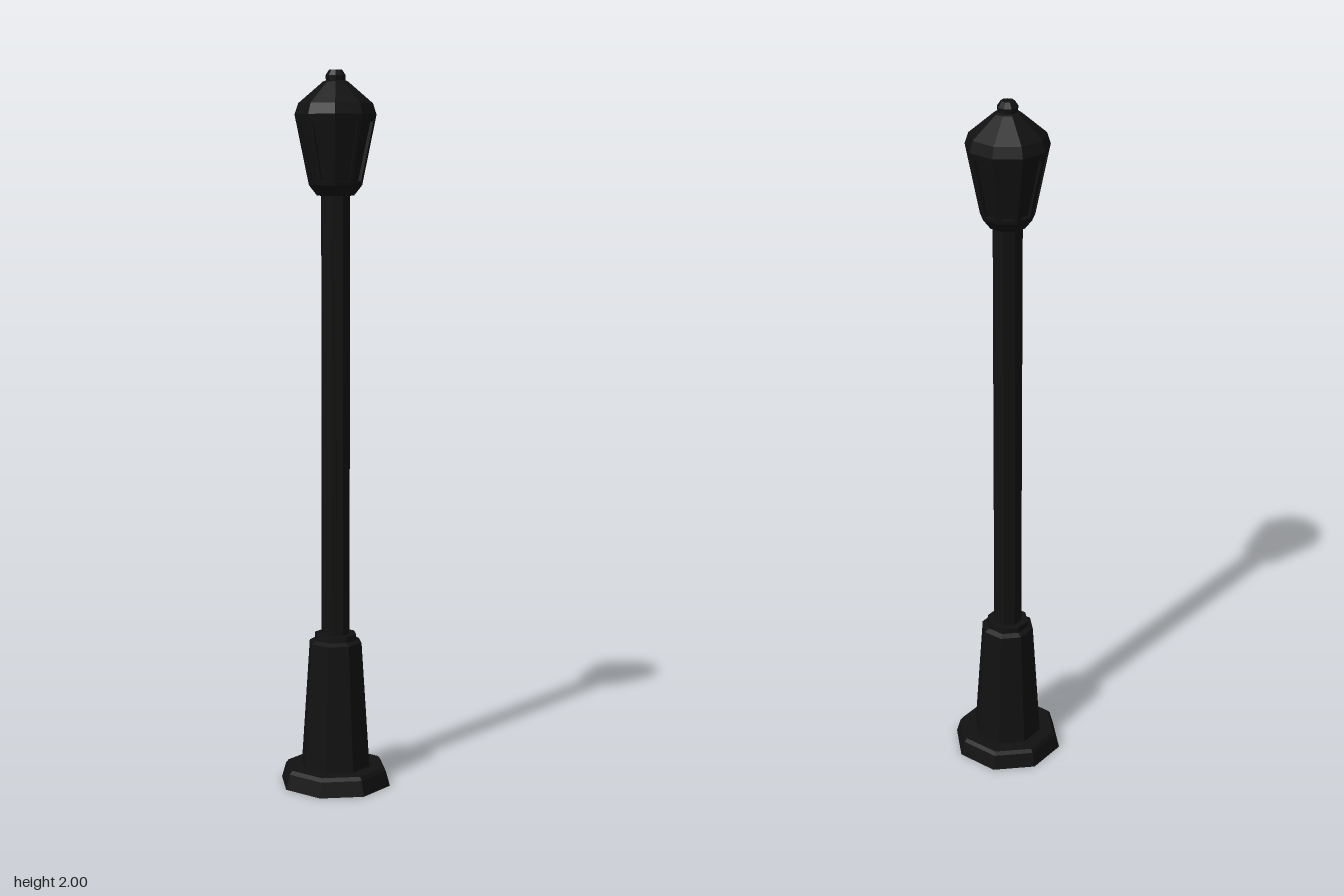
import * as THREE from 'three';

const material = new THREE.MeshStandardMaterial({
  color: 0x111111, flatShading: true, side: THREE.DoubleSide,
});

// Faceted turned part from [radius, height] pairs, with a corner on +x
function turned(name, sides, profile) {
  const points = profile.map(([r, y]) => new THREE.Vector2(r, y));
  const mesh = new THREE.Mesh(new THREE.LatheGeometry(points, sides, Math.PI / 2), material);
  mesh.name = name;
  return mesh;
}

// Trapezoid outline, inset evenly by m
function trapezoid(path, bottom, top, height, m) {
  path.moveTo(-bottom + m, m);
  path.lineTo(bottom - m, m);
  path.lineTo(top - m, height - m);
  path.lineTo(-top + m, height - m);
  path.closePath();
  return path;
}

export function createModel() {
  const group = new THREE.Group();
  group.name = 'streetLamp';

  // Octagonal foot, pedestal and pole
  group.add(
    turned('foot', 8, [[0.16, 0], [0.148, 0.042], [0.14, 0.052], [0.095, 0.052]]),
    turned('pedestal', 8, [[0.1, 0.05], [0.076, 0.41], [0.062, 0.418]]),
    turned('collar', 8, [[0.062, 0.41], [0.06, 0.434], [0.04, 0.434]]),
    turned('pole', 8, [[0.041, 0.42], [0.041, 1.68]]),
  );

  // Nine-sided lantern
  const sides = 9;
  const half = Math.PI / sides;
  const low = { r: 0.074, y: 1.69 };
  const high = { r: 0.111, y: 1.87 };
  const depth = 0.01;
  const lantern = new THREE.Group();
  lantern.name = 'lantern';
  lantern.add(
    turned('lanternCup', sides, [[0.036, 1.66], [0.052, 1.662], [low.r, low.y], [0.055, low.y]]),
    turned('glass', sides, [[low.r - depth, low.y], [high.r - depth, high.y]]),
    turned('roof', sides, [[0.09, high.y], [high.r, high.y], [0.113, 1.88], [0.103, 1.91],
      [0.035, 1.968], [0.026, 1.972]]),
    turned('finial', sides, [[0.026, 1.965], [0.028, 1.985], [0.018, 2], [0, 2]]),
  );

  // Window frames, one per lantern side, leaning outwards
  const rise = high.y - low.y;
  const lean = (high.r - low.r) * Math.cos(half);
  const height = Math.hypot(rise, lean);
  const bottom = low.r * Math.sin(half);
  const top = high.r * Math.sin(half);
  const shape = trapezoid(new THREE.Shape(), bottom, top, height, 0);
  shape.holes.push(trapezoid(new THREE.Path(), bottom, top, height, 0.01));
  const frame = new THREE.ExtrudeGeometry(shape, { depth, bevelEnabled: false });
  frame.translate(0, 0, -depth);
  frame.rotateX(Math.atan2(lean, rise));
  frame.translate(0, low.y, low.r * Math.cos(half));
  for (let i = 0; i < sides; i++) {
    const mesh = new THREE.Mesh(frame, material);
    mesh.name = 'windowFrame';
    mesh.rotation.y = Math.PI / 2 + (2 * i + 1) * half;
    lantern.add(mesh);
  }
  group.add(lantern);
  return group;
}
